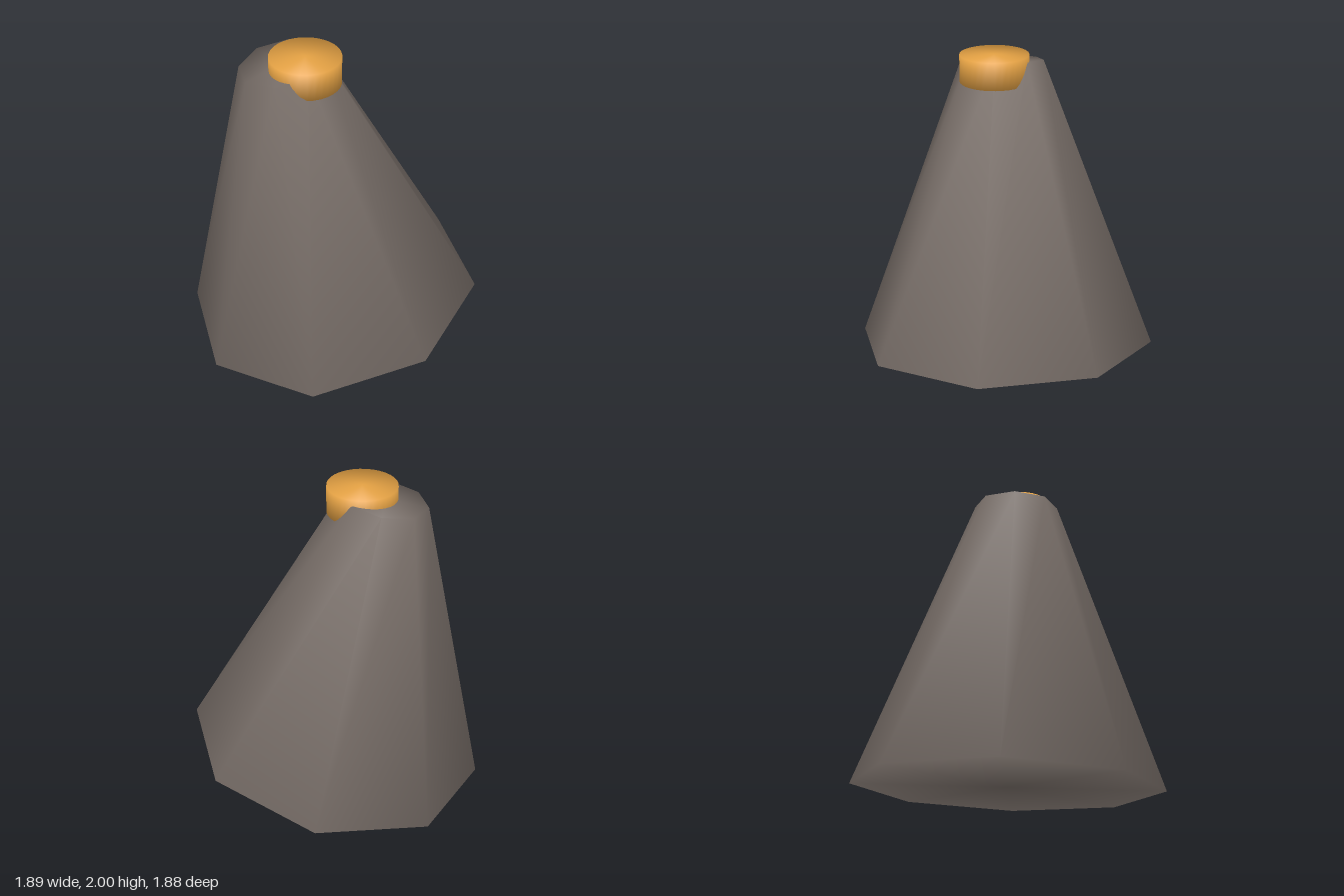
import * as THREE from 'three';
import { mergeVertices } from 'three/addons/utils/BufferGeometryUtils.js';

const rock = new THREE.MeshStandardMaterial({ name: 'rock', color: 0x7a706a });
const lava = new THREE.MeshStandardMaterial({ name: 'lava', color: 0xe5a244 });

// Closed frustum whose normals are blended across the walls and caps
function softFrustum(topRadius, bottomRadius, height, sides) {
  const geometry = new THREE.CylinderGeometry(topRadius, bottomRadius, height, sides);
  geometry.deleteAttribute('uv');
  geometry.deleteAttribute('normal');
  geometry.clearGroups();
  const soft = mergeVertices(geometry);
  soft.computeVertexNormals();
  return soft;
}

export function createModel() {
  const group = new THREE.Group();
  group.name = 'volcano';

  // Leaning eight-sided mountain, pivoting about the centre of its base
  const height = 1.8;
  const mountainGeometry = softFrustum(0.26, 0.95, height, 8);
  mountainGeometry.translate(0, height / 2, 0);
  const mountain = new THREE.Mesh(mountainGeometry, rock);
  mountain.name = 'mountain';
  mountain.position.set(0, 0.153, 0);
  mountain.rotation.set(0.14, 0, 0.087);
  group.add(mountain);

  // Upright plug of lava in the crater
  const plug = new THREE.Mesh(softFrustum(0.213, 0.213, 0.17, 32), lava);
  plug.name = 'lavaPlug';
  plug.position.set(-0.04, 1.915, 0.168);
  group.add(plug);

  return group;
}
